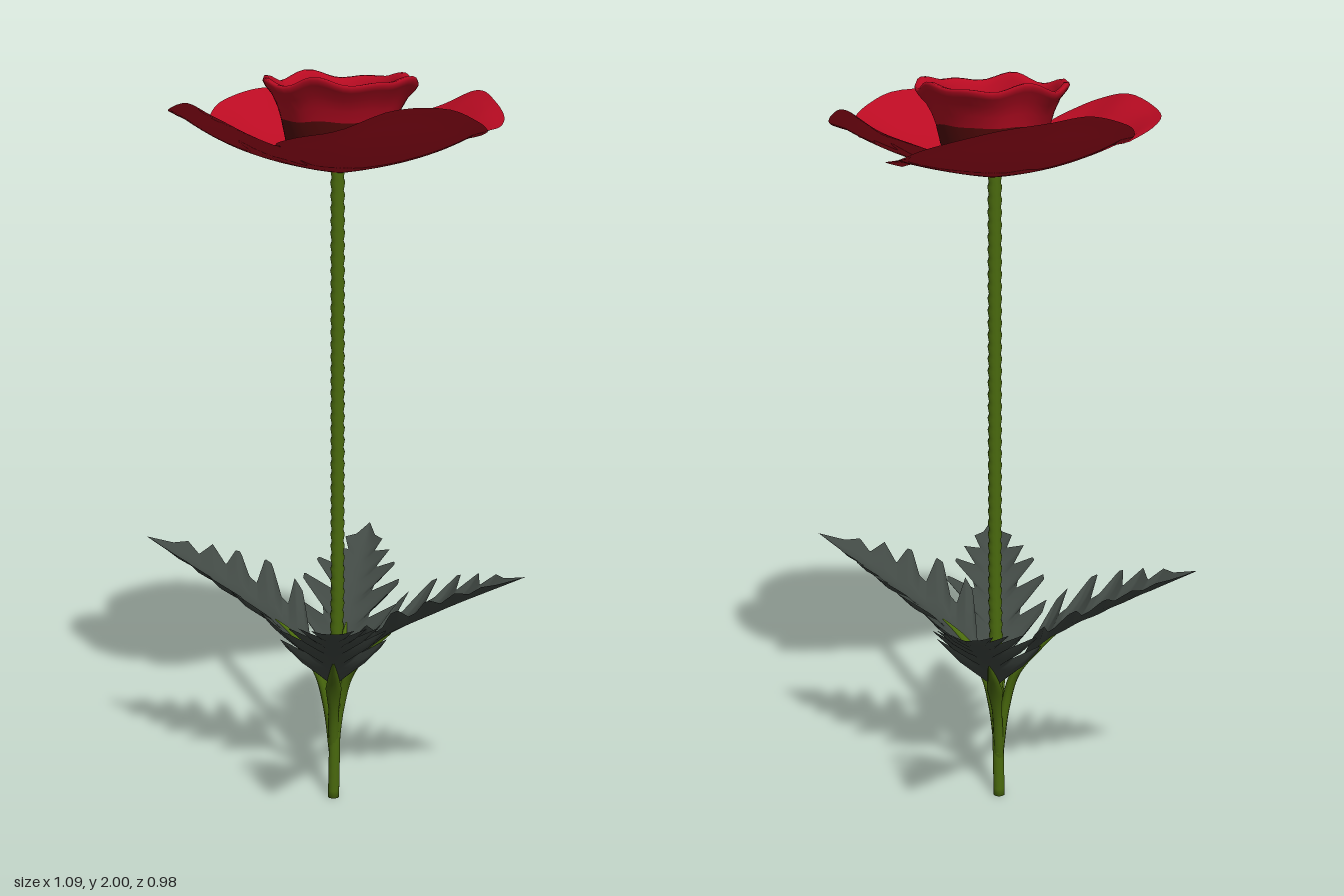
import * as THREE from 'three';
import { mergeVertices } from 'three/addons/utils/BufferGeometryUtils.js';
import { ParametricGeometry } from 'three/addons/geometries/ParametricGeometry.js';

const mat = (name, color) => new THREE.MeshStandardMaterial({ name, color, side: THREE.DoubleSide });

// Weld seams and recompute smooth normals
function smooth(g) {
  g.deleteAttribute('uv');
  g.deleteAttribute('normal');
  const m = mergeVertices(g, 1e-5);
  m.computeVertexNormals();
  return m;
}

// Apply a rule to every vertex
function warp(g, rule) {
  const p = g.attributes.position, v = new THREE.Vector3();
  for (let i = 0; i < p.count; i++) {
    rule(v.fromBufferAttribute(p, i));
    p.setXYZ(i, v.x, v.y, v.z);
  }
  return g;
}

// Linear lookup in a list of [key, value]
function lookup(table, k) {
  for (let i = 1; i < table.length; i++) {
    const [a, p] = table[i - 1], [b, q] = table[i];
    if (k <= b) return p + (q - p) * (k - a) / (b - a);
  }
  return table[table.length - 1][1];
}

export function createModel() {
  const red = mat('petalRed', 0xb90b22);
  const darkRed = mat('petalBaseDarkRed', 0x540909);
  const green = mat('stemGreen', 0x4a6a0e);
  const bright = mat('pistilGreen', 0x648f12);
  const leafGrey = mat('leafGreyGreen', 0x414944);
  const brown = mat('discBrown', 0x3f292b);

  const model = new THREE.Group();
  const add = (parent, name, geo, material) => {
    const m = new THREE.Mesh(geo, material);
    m.name = name;
    parent.add(m);
    return m;
  };

  // Stem: ribbed lathe with a slight drift
  const profile = [new THREE.Vector2(0, 0)];
  const ribs = 54, top = 1.765;
  for (let i = 0; i < ribs; i++) {
    const y = i / ribs * top, bump = y > 0.2 ? 0.004 : 0;
    profile.push(new THREE.Vector2(0.016, y), new THREE.Vector2(0.016 + bump, y + 0.65 * top / ribs));
  }
  profile.push(new THREE.Vector2(0.016, top));
  add(model, 'stem', smooth(warp(new THREE.LatheGeometry(profile, 12), v => {
    const k = Math.min(1, v.y / 0.6);
    v.x += 0.014 * k;
    v.z += 0.01 + 0.009 * k;
  })), green);

  // Leaves: flared stalk and a lobed, upturned blade along a rib curve
  const lobes = [[0, 0.02], [0.05, 0.14], [0.1, 0.155], [0.16, 0.07], [0.2, 0.075], [0.24, 0.15], [0.28, 0.15], [0.35, 0.065],
    [0.39, 0.07], [0.43, 0.125], [0.46, 0.12], [0.53, 0.06], [0.6, 0.095], [0.69, 0.042], [0.75, 0.06], [0.84, 0.03], [1, 0]];
  const stalkWidth = [[0, 0.015], [0.2, 0.015], [0.31, 0.024], [0.38, 0.016], [0.5, 0.002]];
  const leafParts = points => {
    const rib = new THREE.CatmullRomCurve3(points.map(([x, y]) => new THREE.Vector3(x, y, 0)));
    const blade = smooth(new ParametricGeometry((u, v, out) => {
      const w = lookup(lobes, u), side = v * 2 - 1, a = Math.abs(side);
      const t = Math.min(1, 0.33 + 0.67 * u + 0.6 * w * a);
      out.copy(rib.getPointAt(t));
      out.y += 0.5 * w * a * a;
      out.z = side * w;
    }, 120, 6));
    const stalk = smooth(new ParametricGeometry((u, v, out) => {
      const t = 0.5 * u, w = lookup(stalkWidth, t), a = v * Math.PI * 2;
      const thick = Math.min(w, 0.013), dir = rib.getTangentAt(t);
      out.copy(rib.getPointAt(t));
      out.x -= dir.y * Math.sin(a) * thick;
      out.y += dir.x * Math.sin(a) * thick;
      out.z = Math.cos(a) * w;
    }, 24, 10));
    return { blade, stalk };
  };
  const steep = leafParts([[0, 0.13], [0.018, 0.27], [0.05, 0.38], [0.14, 0.485], [0.31, 0.59], [0.545, 0.715]]);
  const spread = leafParts([[0, 0.13], [0.03, 0.27], [0.085, 0.39], [0.18, 0.495], [0.33, 0.595], [0.545, 0.715]]);
  [['leftLeaf', 7, 1, steep], ['frontLeaf', 74, 0.92, spread], ['rightLeaf', 180, 1, steep], ['backLeaf', 266, 0.92, spread]]
    .forEach(([name, deg, s, parts]) => {
      const leaf = new THREE.Group();
      leaf.name = name;
      leaf.rotation.y = -deg * Math.PI / 180;
      leaf.scale.setScalar(s);
      leaf.position.z = 0.008;
      add(leaf, 'leafBlade', parts.blade, leafGrey);
      add(leaf, 'leafStalk', parts.stalk, green);
      model.add(leaf);
    });

  const flower = new THREE.Group();
  flower.name = 'flower';
  flower.position.set(0.02, 0, 0.02);
  model.add(flower);

  // Outer petals: rim given as [degrees, radius, height]
  const rims = {
    frontPetal: [[-7, 0.35, 1.855], [-1, 0.365, 1.86], [5, 0.39, 1.87], [14, 0.42, 1.885], [24, 0.44, 1.91], [37, 0.435, 1.945],
      [56, 0.41, 1.945], [75, 0.425, 1.9], [87, 0.425, 1.885], [95, 0.405, 1.87], [99, 0.375, 1.86], [105, 0.415, 1.885],
      [117, 0.44, 1.925], [134, 0.43, 1.95], [153, 0.44, 1.925], [169, 0.43, 1.905], [175, 0.405, 1.885], [182, 0.36, 1.86]],
    backPetal: [[174, 0.34, 1.85], [181, 0.355, 1.86], [194, 0.4, 1.89], [205, 0.425, 1.92], [222, 0.42, 1.95], [240, 0.44, 1.94],
      [256, 0.417, 1.92], [277, 0.438, 1.88], [289, 0.433, 1.845], [297, 0.4, 1.835], [305, 0.3, 1.81]],
    sidePetal: [[278, 0.2, 1.81], [286, 0.37, 1.87], [295, 0.42, 1.9], [312, 0.43, 1.945], [330, 0.417, 1.925],
      [348, 0.42, 1.885], [356, 0.405, 1.87], [362, 0.36, 1.865]],
  };
  for (const [name, rows] of Object.entries(rims)) {
    // Angle is scaled to stay comparable with the radius
    const rim = new THREE.CatmullRomCurve3(rows.map(([d, r, y]) => new THREE.Vector3(d / 100, r, y)));
    const lift = name === 'sidePetal' ? 0.008 : 0;
    add(flower, name, smooth(new ParametricGeometry((u, v, out) => {
      const p = rim.getPoint(u), a = p.x * 100 * Math.PI / 180, k = 0.03 + 0.97 * v;
      // Shallow cone that turns up towards the rim and curls over at its edge
      const cone = 0.2 * p.y, curl = 0.012 * Math.max(0, k - 0.9) / 0.1;
      const y = 1.745 + cone * Math.pow(k, 1.15) + (p.z - 1.745 - cone) * Math.pow(k, 3.2);
      out.set(Math.cos(a) * p.y * k, y - curl + lift * k, Math.sin(a) * p.y * k);
    }, 72, 20)), red);
  }

  // Inner cup: wavy, with a rolled lip and dark base inside and out
  const wave = v => {
    const a = Math.atan2(v.z, v.x), k = THREE.MathUtils.clamp((v.y - 1.86) / 0.12, 0, 1);
    const s = 1 + k * (0.02 * Math.cos(5 * a + 0.6) + 0.015 * Math.cos(8 * a));
    v.y += k * (0.008 * Math.sin(5 * a) + 0.006 * Math.sin(8 * a + 1));
    v.x *= s;
    v.z = v.z * s * 0.92 + 0.01;
  };
  const cup = (name, pts, material) => add(flower, name,
    smooth(warp(new THREE.LatheGeometry(pts.map(([x, y]) => new THREE.Vector2(x, y)), 60), wave)), material);
  cup('innerPetalUndersides', [[0.115, 1.768], [0.138, 1.83], [0.15, 1.885]], darkRed);
  cup('innerPetals', [[0.15, 1.885], [0.16, 1.915], [0.175, 1.945], [0.193, 1.966], [0.2, 1.978],
    [0.197, 1.986], [0.185, 1.985], [0.172, 1.968], [0.162, 1.935]], red);
  cup('innerPetalBases', [[0.162, 1.935], [0.148, 1.9], [0.138, 1.865], [0.12, 1.85], [0.001, 1.85]], darkRed);

  // Centre: disc, pistil and stamens
  const disc = add(flower, 'disc', new THREE.SphereGeometry(0.125, 32, 8, 0, Math.PI * 2, 0, Math.PI / 2), brown);
  disc.scale.set(1, 0.2, 0.9);
  disc.position.set(0.008, 1.85, 0.008);
  const stalk = add(flower, 'pistilStalk', new THREE.CylinderGeometry(0.014, 0.02, 0.06, 12), bright);
  stalk.position.y = 1.885;
  const pistil = add(flower, 'pistil', new THREE.SphereGeometry(0.032, 20, 14), bright);
  pistil.position.y = 1.918;
  for (let i = 0; i < 10; i++) {
    const a = i * 2.4, r = 0.05 + 0.045 * ((i * 7) % 10) / 10;
    const s = add(flower, 'stamen', new THREE.CapsuleGeometry(0.003, 0.026, 3, 6), brown);
    s.position.set(Math.cos(a) * r, 1.88, Math.sin(a) * r);
    s.rotation.set(1.1, 0, a + i);
  }
  return model;
}
